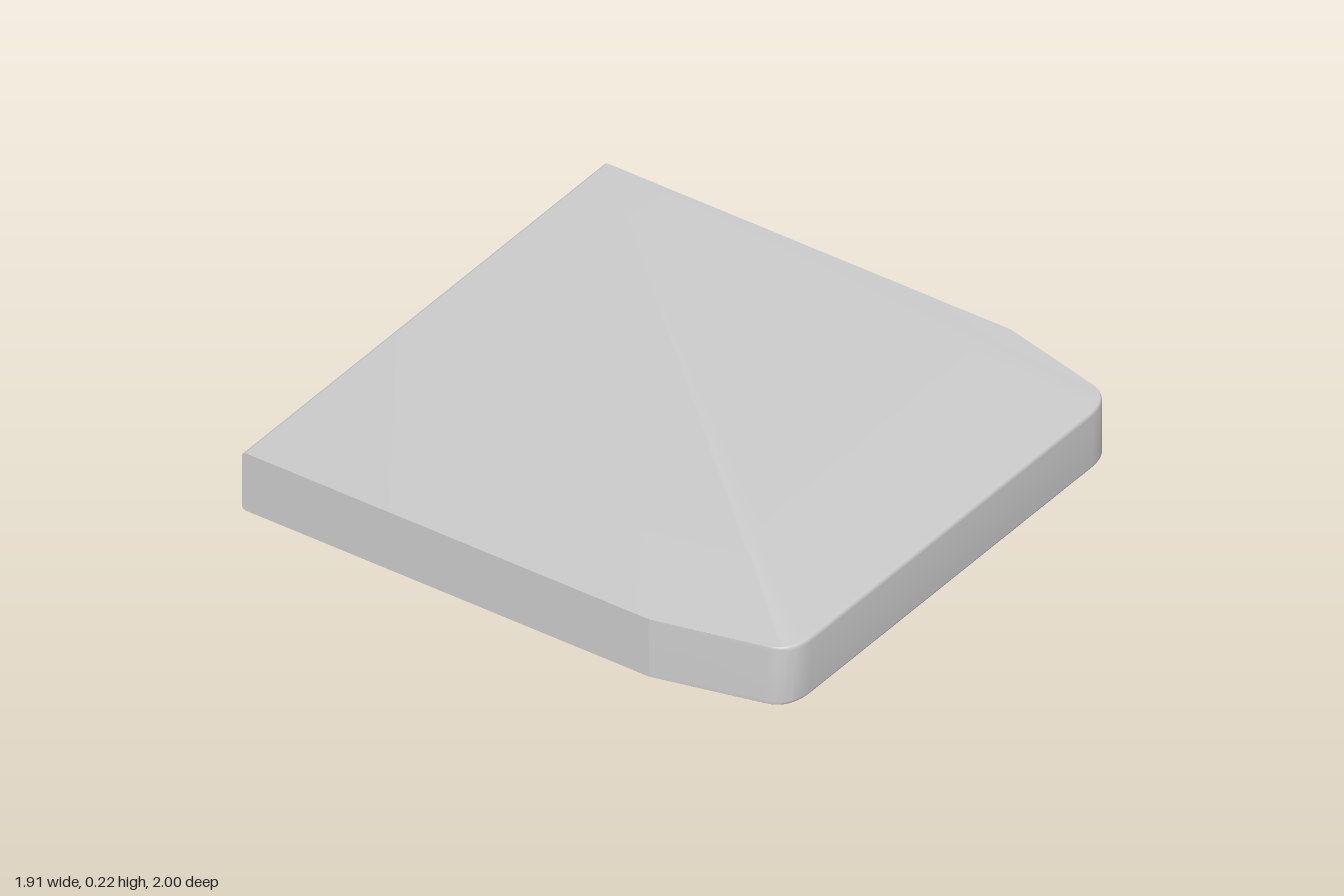
import * as THREE from 'three';
import { toCreasedNormals } from 'three/addons/utils/BufferGeometryUtils.js';

const HEIGHT = 0.215, BEVEL = 0.015, STEPS = 8;

// Plan outline as [x, z, bevel weight]: straight sides, tapered nose, rounded front corners
function outline() {
  const corner = new THREE.QuadraticBezierCurve(
    new THREE.Vector2(0.862, 0.92), new THREE.Vector2(0.843, 1), new THREE.Vector2(0.735, 1));
  const half = [[0.955, -1, 1], [0.955, 0.54, 0]];
  corner.getPoints(10).forEach((p, i) => half.push([p.x, p.y, 0.3 + 0.07 * i]));
  return [...half, ...half.map(([x, z, w]) => [-x, z, w]).reverse()];
}

// Heights and insets of the rounded front and back edges, bottom to top
function edgeProfile() {
  const lower = [];
  for (let i = 0; i <= STEPS; i++) {
    const a = (i / STEPS) * Math.PI / 2;
    lower.push([BEVEL * (1 - Math.sin(a)), BEVEL * (1 - Math.cos(a))].reverse());
  }
  return [...lower, ...lower.map(([y, inset]) => [HEIGHT - y, inset]).reverse()];
}

function slabGeometry() {
  const loop = outline(), rings = edgeProfile(), n = loop.length;
  const positions = [], index = [];
  for (const [y, inset] of rings)
    for (const [x, z, w] of loop) positions.push(x, y, z - Math.sign(z) * inset * w);

  // Walls
  for (let r = 0; r < rings.length - 1; r++)
    for (let i = 0; i < n; i++) {
      const a = r * n + i, b = r * n + (i + 1) % n;
      index.push(a, a + n, b, b, a + n, b + n);
    }
  // Flat bottom and top
  const top = (rings.length - 1) * n;
  for (let i = 1; i < n - 1; i++) index.push(0, i, i + 1, top, top + i + 1, top + i);

  const geometry = new THREE.BufferGeometry();
  geometry.setAttribute('position', new THREE.Float32BufferAttribute(positions, 3));
  geometry.setIndex(index);
  return toCreasedNormals(geometry, 0.23);
}

export function createModel() {
  const group = new THREE.Group();
  const slab = new THREE.Mesh(slabGeometry(), new THREE.MeshStandardMaterial({ color: 0xcccccc }));
  slab.name = 'slab';
  group.add(slab);
  return group;
}
